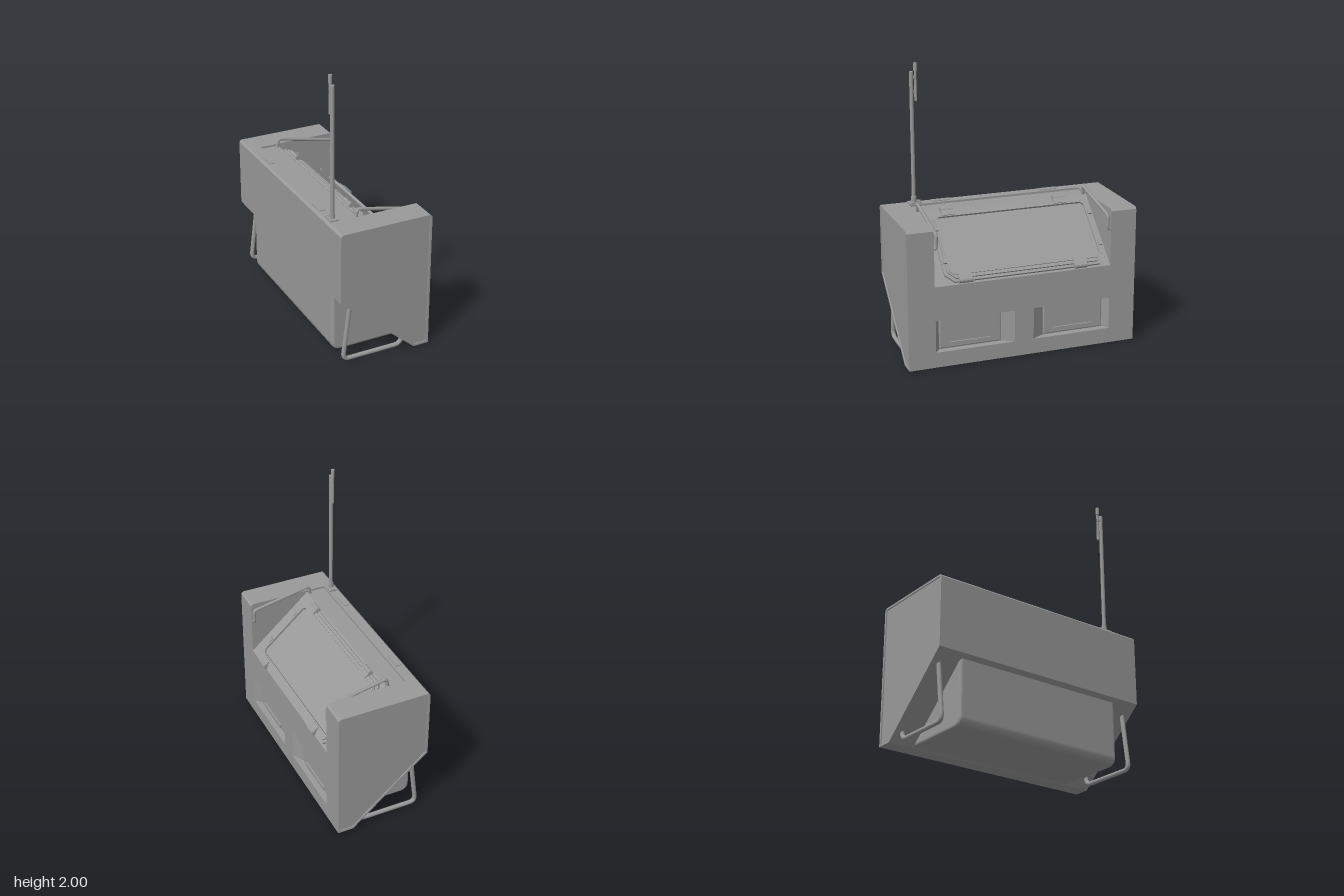
import * as THREE from 'three';
import { RoundedBoxGeometry } from 'three/addons/geometries/RoundedBoxGeometry.js';

const END = 0.835, INNER = 0.645;

export function createModel() {
  const root = new THREE.Group();
  root.name = 'console';
  const gray = new THREE.MeshStandardMaterial({ color: 0x999999 });
  gray.name = 'plain gray';

  const add = (name, geo, x = 0, y = 0, z = 0, parent = root) => {
    const m = new THREE.Mesh(geo, gray);
    m.name = name;
    m.position.set(x, y, z);
    parent.add(m);
    return m;
  };
  const box = (name, w, h, d, x, y, z, parent) => add(name, new THREE.BoxGeometry(w, h, d), x, y, z, parent);
  const poly = (pts) => new THREE.Shape(pts.map((p) => new THREE.Vector2(...p)));
  // outline in x,y pushed along z
  const alongZ = (shape, z0, z1) =>
    new THREE.ExtrudeGeometry(shape, { depth: z1 - z0, bevelEnabled: false, curveSegments: 8 }).translate(0, 0, z0);
  // outline in x,z pushed upward
  const alongY = (shape, y0, y1) =>
    new THREE.ExtrudeGeometry(shape, { depth: y1 - y0, bevelEnabled: false, curveSegments: 8 })
      .rotateX(-Math.PI / 2).translate(0, y0, 0);
  // bent bar with rounded corners
  const bar = (name, pts, r, bend) => {
    const v = pts.map((p) => new THREE.Vector3(...p));
    const path = new THREE.CurvePath();
    let last = v[0];
    for (let i = 1; i < v.length - 1; i++) {
      const a = v[i].clone().add(v[i - 1].clone().sub(v[i]).setLength(bend));
      const b = v[i].clone().add(v[i + 1].clone().sub(v[i]).setLength(bend));
      path.add(new THREE.LineCurve3(last, a));
      path.add(new THREE.QuadraticBezierCurve3(a, v[i], b));
      last = b;
    }
    path.add(new THREE.LineCurve3(last, v[v.length - 1]));
    return add(name, new THREE.TubeGeometry(path, 80, r, 10));
  };
  // rectangle with cut corners
  const cutRect = (hx, hz, c) => poly([
    [-hx + c, -hz], [hx - c, -hz], [hx, -hz + c], [hx, hz - c],
    [hx - c, hz], [-hx + c, hz], [-hx, hz - c], [-hx, -hz + c]]);

  // middle body: back strip, lowered shelf, slope, and a slot for the drawer recesses
  add('middleBody', alongZ(poly([
    [-0.35, 0.49], [0.21, 0.005], [0.325, 0.005], [0.325, 0.115], [0.27, 0.115], [0.27, 0.345],
    [0.325, 0.345], [0.325, 0.59], [-0.12, 0.985], [-0.26, 0.985], [-0.26, 1], [-0.335, 1], [-0.35, 0.985],
  ]), -INNER, INNER));

  // recess surround with slanted cheeks
  const half = [[0.325, 0.07], [0.275, 0.155], [0.275, 0.607], [0.325, 0.642], [0.325, INNER], [0.268, INNER]];
  const mirrored = half.map(([x, z]) => [x, -z]).reverse();
  add('recessSurround', alongY(poly([...mirrored, ...half]), 0.115, 0.345));

  // end blocks with a raised rim around each end panel
  const outline = [[-0.35, 0.49], [0.21, 0.005], [0.325, 0.005], [0.325, 0.985],
    [0.31, 1], [-0.335, 1], [-0.35, 0.985]];
  const panel = [[-0.335, 0.497], [0.216, 0.02], [0.31, 0.02], [0.31, 0.985], [-0.335, 0.985]];
  for (const s of [-1, 1]) {
    const span = (a, b) => (s > 0 ? [a, b] : [-b, -a]);
    add('endBlock', alongZ(poly(outline), ...span(INNER, END - 0.008)));
    const rim = poly(outline);
    rim.holes.push(poly(panel));
    add('endRim', alongZ(rim, ...span(END - 0.008, END)));

    // floor loop under each end
    const z = 0.775 * s;
    bar('floorLoop', [[-0.25, 0.46, z], [-0.305, 0.016, z], [0.14, 0.016, z], [0.152, 0.12, z]], 0.016, 0.05);

    // grab rail beside the window
    const r = 0.625 * s;
    bar('grabRail', [[-0.14, 0.97, r], [-0.125, 1.047, r], [0.31, 0.955, r],
      [0.31, 0.855, r], [0.31, 0.855, 0.66 * s]], 0.012, 0.022);

    // drawer in its recess
    const d = 0.381 * s;
    add('drawerFront', new RoundedBoxGeometry(0.02, 0.22, 0.445, 2, 0.009), 0.273, 0.23, d);
    box('drawerPull', 0.014, 0.03, 0.295, 0.287, 0.15, d);

    // top slots and small slope tabs
    box('topPlate', 0.042, 0.008, 0.128, -0.302, 1.002, s > 0 ? 0.403 : -0.41);
    box('faceTab', 0.012, 0.025, 0.008, 0.325, 0.56, 0.62 * s);
  }

  // lower housing with a rounded back corner
  const low = new THREE.Shape();
  low.moveTo(-0.3, 0.52);
  low.lineTo(-0.3, 0.075);
  low.quadraticCurveTo(-0.3, 0.03, -0.255, 0.03);
  low.lineTo(0.2, 0.03);
  low.lineTo(0.2, 0.2);
  low.lineTo(-0.1, 0.52);
  low.closePath();
  add('lowerHousing', new THREE.ExtrudeGeometry(low, {
    depth: 1.26, bevelSize: 0.02, bevelThickness: 0.02, bevelSegments: 3, curveSegments: 8,
  }).translate(0, 0, -0.63));

  // window lying on the slope: local x runs down the slope, local y points out of it
  const win = new THREE.Group();
  win.name = 'window';
  win.position.set(0.1025, 0.7875, -0.035);
  win.rotation.z = -Math.atan2(0.395, 0.445);
  root.add(win);
  const frame = (name, hx, hz, c, ix, iz, ic, y0, y1) => {
    const sh = cutRect(hx, hz, c);
    sh.holes.push(cutRect(ix, iz, ic));
    add(name, alongY(sh, y0, y1), 0, 0, 0, win);
  };
  frame('frameFlange', 0.282, 0.595, 0.06, 0.22, 0.55, 0.02, -0.005, 0.016);
  frame('frameRim', 0.262, 0.575, 0.052, 0.222, 0.55, 0.02, 0.016, 0.028);
  frame('frameLip', 0.238, 0.562, 0.03, 0.222, 0.548, 0.02, 0.028, 0.034);
  add('windowPane', alongY(cutRect(0.224, 0.552, 0.02), -0.004, 0.016), 0, 0, 0, win);
  for (const sx of [-1, 1]) {
    for (const z of [0.46, -0.38]) {
      box('hingePlate', 0.065, 0.032, 0.095, 0.262 * sx, 0.024, z, win);
      const pin = add('hingePin', new THREE.CylinderGeometry(0.018, 0.018, 0.095, 12), 0.282 * sx, 0.026, z, win);
      pin.rotation.x = Math.PI / 2;
    }
    for (const sz of [-1, 1]) box('frameClip', 0.03, 0.014, 0.028, 0.13 * sx, 0.034, 0.572 * sz, win);
  }

  // mast with its side whip
  const rod = (name, r, y0, y1, z) =>
    add(name, new THREE.CylinderGeometry(r, r, y1 - y0, 14), -0.297, (y0 + y1) / 2, z);
  box('mastBase', 0.062, 0.012, 0.09, -0.297, 1.004, 0.595);
  rod('mastCollar', 0.019, 1.0, 1.05, 0.6);
  rod('mastPole', 0.014, 1.0, 1.94, 0.6);
  rod('whipSocket', 0.016, 1.0, 1.018, 0.565);
  rod('whipGrip', 0.010, 1.735, 1.88, 0.57);
  rod('whipRod', 0.006, 1.87, 1.95, 0.57);
  rod('whipCollar', 0.009, 1.89, 1.94, 0.57);
  rod('whipTip', 0.013, 1.945, 2.0, 0.57);
  box('whipBracket', 0.012, 0.02, 0.035, -0.297, 1.9, 0.585);
  box('whipBracket', 0.012, 0.02, 0.035, -0.297, 1.8, 0.585);

  return root;
}
